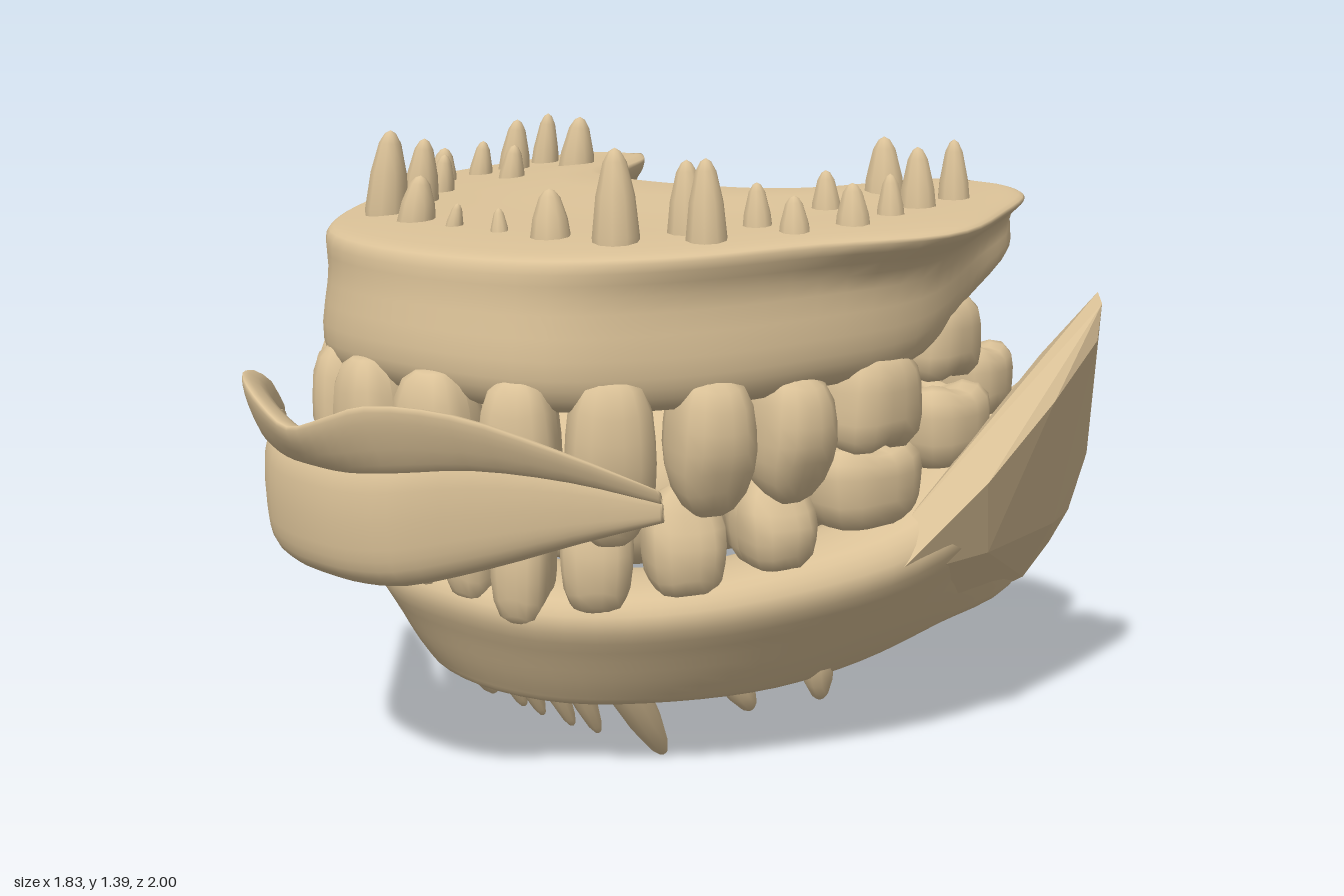
import * as THREE from 'three';
import { ConvexGeometry } from 'three/addons/geometries/ConvexGeometry.js';

const V = (x, y, z) => new THREE.Vector3(x, y, z);
const mix = THREE.MathUtils.lerp;

// Smooth closed skin through a row of cross-section rings.
function loft(rings, along, around) {
  const n = rings[0].length;
  const rails = [...Array(n).keys()].map(i => new THREE.CatmullRomCurve3(rings.map(r => r[i]), false, 'centripetal'));
  const pos = [], idx = [], pts = [];
  for (let a = 0; a <= along; a++) {
    const loop = new THREE.CatmullRomCurve3(rails.map(c => c.getPoint(a / along)), true, 'centripetal');
    for (let b = 0; b < around; b++) pts.push(loop.getPoint(b / around));
  }
  for (let a = 0; a < along; a++) for (let b = 0; b < around; b++) {
    const p = a * around + b, q = a * around + (b + 1) % around;
    idx.push(p, q, p + around, q, q + around, p + around);
  }
  for (const [start, flip] of [[0, false], [along * around, true]]) {
    const c = V(0, 0, 0);
    for (let b = 0; b < around; b++) c.addScaledVector(pts[start + b], 1 / around);
    const ci = pts.push(c) - 1;
    for (let b = 0; b < around; b++) {
      const p = start + b, q = start + (b + 1) % around;
      idx.push(ci, flip ? p : q, flip ? q : p);
    }
  }
  // turn the skin outward if its volume is negative
  let vol = 0;
  for (let i = 0; i < idx.length; i += 3)
    vol += pts[idx[i]].dot(V(0, 0, 0).crossVectors(pts[idx[i + 1]], pts[idx[i + 2]]));
  if (vol < 0) idx.reverse();
  pts.forEach(p => pos.push(p.x, p.y, p.z));
  const g = new THREE.BufferGeometry();
  g.setAttribute('position', new THREE.Float32BufferAttribute(pos, 3));
  g.setIndex(idx);
  g.computeVertexNormals();
  return g;
}

// Extend half a row of rings (starting at the middle) to both sides.
const mirrored = half => [
  ...half.slice(1).reverse().map(r => r.map(p => V(-p.x, p.y, p.z))), ...half];

// Crown with its biting edge at +y.
function crown(w, h, d, type) {
  const g = new THREE.SphereGeometry(1, 18, 12), p = g.attributes.position;
  for (let i = 0; i < p.count; i++) {
    let x = p.getX(i), y = p.getY(i), z = p.getZ(i);
    const s = (Math.abs(x) ** 3.6 + Math.abs(y) ** 3.6 + Math.abs(z) ** 3.6) ** (-1 / 3.6);
    x *= s; y *= s; z *= s;
    const up = Math.max(0, y);
    if (type === 'molar') {
      x *= 0.92 + 0.08 * y;
      if (y > 0.4) y -= 0.3 * (Math.exp(-x * x * 14) + Math.exp(-z * z * 14)) * (y - 0.4);
    } else {
      x *= (type === 'canine' ? 1 - 0.4 * up * up : 1) * (0.92 + 0.08 * y);
      z *= 1 - 0.5 * up;
    }
    p.setXYZ(i, x * w / 2, y * h / 2, z * d / 2);
  }
  g.computeVertexNormals();
  return g;
}

export function createModel() {
  const model = new THREE.Group();
  const tan = new THREE.MeshStandardMaterial({ color: 0xdac197 });
  tan.name = 'tan';
  const add = (name, geo, parent = model) => {
    const m = new THREE.Mesh(geo, tan);
    m.name = name;
    parent.add(m);
    return m;
  };
  const group = name => {
    const g = new THREE.Group();
    g.name = name;
    model.add(g);
    return g;
  };

  // Upper gum with palate: outer x z, inner x z, lower edge y, inset of lower edge, drop of the top rim
  const upper = [
    [0, 0.69, 0, -0.16, 0.89, -0.03, 0.025], [0.33, 0.62, 0.1, -0.165, 0.88, -0.02, 0.025],
    [0.54, 0.43, 0.2, -0.18, 0.88, 0.02, 0.025], [0.69, 0.19, 0.27, -0.21, 0.9, 0.04, 0.02],
    [0.845, -0.08, 0.33, -0.27, 0.93, 0.11, 0.02], [0.8, -0.33, 0.38, -0.38, 1.03, 0.08, 0.01],
    [0.72, -0.52, 0.44, -0.5, 1.12, 0.03, 0], [0.58, -0.575, 0.5, -0.56, 1.18, 0, 0]
  ].map(([xo, zo, xi, zi, yb, inset, drop]) => {
    const len = Math.hypot(xo - xi, zo - zi), ridge = Math.min(0.24, len * 0.6);
    const top = z => 1.25 - 0.05 * z;
    const at = (back, y) => {
      const k = back / len, z = mix(zo, zi, k);
      return V(mix(xo, xi, k), y(z), z);
    };
    return [
      at(len, z => top(z)), at(len * 0.5, z => top(z) - drop * 0.3), at(0.04, z => top(z) - drop),
      at(0, z => top(z) - drop - 0.015),
      at(inset * 0.7 + 0.01, z => mix(top(z), yb, 0.35)), at(inset, z => mix(top(z), yb, 0.8)),
      at(inset + 0.04, () => yb), at(inset + ridge, () => yb + 0.02),
      at(Math.min(len * 0.85, inset + ridge * 1.5), z => mix(top(z), yb, 0.45)),
      at(len * 0.98, z => mix(top(z), yb, 0.2))];
  });
  add('upperGum', loft(mirrored(upper), 64, 36));

  // Lower gum: outer x z, inner x z, bottom y, top y, inset of the bottom edge
  const lower = [
    [0, 0.61, 0, 0.28, 0.18, 0.47, 0.12], [0.25, 0.56, 0.17, 0.24, 0.18, 0.46, 0.13],
    [0.47, 0.4, 0.3, 0.13, 0.185, 0.47, 0.15], [0.65, 0.15, 0.4, 0, 0.19, 0.51, 0.17],
    [0.77, -0.1, 0.48, -0.15, 0.22, 0.57, 0.19], [0.83, -0.35, 0.54, -0.35, 0.27, 0.69, 0.19],
    [0.82, -0.55, 0.57, -0.6, 0.32, 0.78, 0.14], [0.77, -0.71, 0.6, -0.7, 0.42, 0.81, 0.1],
    [0.74, -0.79, 0.64, -0.78, 0.55, 0.78, 0.03]
  ].map(([xo, zo, xi, zi, yb, yt, inset]) => {
    const len = Math.hypot(xo - xi, zo - zi);
    const at = (back, k) => V(mix(xo, xi, back / len), mix(yb, yt, k), mix(zo, zi, back / len));
    const s = Math.min(1, len / 0.25);
    return [at(len - 0.03 * s, 0), at(inset, 0), at(inset * 0.8, 0.1), at(inset * 0.35, 0.45), at(0, 0.8),
      at(0.04 * s, 1), at(len - 0.07 * s, 1), at(len, 0.7), at(len, 0.3)];
  });
  add('lowerGum', loft(mirrored(lower), 64, 36));

  // Pointed flaps flaring outward at the back of the lower gum
  for (const s of [1, -1]) add(s > 0 ? 'leftJawFlap' : 'rightJawFlap', new ConvexGeometry([
    [0.88, 1.05, -0.59], [0.91, 1.03, -0.56], [0.915, 0.95, -0.54], [0.9, 0.83, -0.4], [0.855, 0.67, -0.22],
    [0.74, 0.47, -0.04], [0.81, 0.49, -0.3], [0.66, 0.3, -0.35], [0.7, 0.34, -0.62], [0.8, 0.5, -0.58],
    [0.76, 0.5, -0.71], [0.79, 0.64, -0.73], [0.79, 0.87, -0.73], [0.73, 0.42, -0.68], [0.77, 0.9, -0.54],
    [0.74, 0.7, -0.28], [0.73, 0.84, -0.7], [0.7, 0.55, -0.1]
  ].map(([x, y, z]) => V(s * x, y, z))));

  // Tongue: top z y, underside z y, half width
  add('tongue', loft([
    [-0.975, 0.11, -0.82, 0.125, 0.23], [-1, 0.29, -0.74, 0.18, 0.28], [-0.97, 0.5, -0.67, 0.25, 0.34],
    [-0.87, 0.7, -0.6, 0.32, 0.41], [-0.7, 0.83, -0.48, 0.38, 0.47], [-0.4, 0.93, -0.3, 0.42, 0.45],
    [-0.05, 0.88, -0.05, 0.44, 0.4], [0.22, 0.74, 0.2, 0.44, 0.3], [0.4, 0.58, 0.38, 0.48, 0.12]
  ].map(([zt, yt, zb, yb, w]) => {
    const at = (x, k) => V(x * w, mix(yb, yt, k), mix(zb, zt, k));
    return [at(0, 1), at(0.55, 0.97), at(0.93, 0.72), at(1, 0.45), at(0.82, 0.06),
      at(0, 0), at(-0.82, 0.06), at(-1, 0.45), at(-0.93, 0.72), at(-0.55, 0.97)];
  }), 36, 32));

  // Lips: x, front z, top y, mouth line y, bottom y, thickness factor
  const lips = [[0, 0.995, 0.86, 0.77, 0.53, 1], [0.1, 0.985, 0.89, 0.77, 0.53, 1], [0.2, 0.955, 0.925, 0.78, 0.54, 1],
    [0.33, 0.85, 0.91, 0.79, 0.58, 0.9], [0.48, 0.71, 0.84, 0.77, 0.64, 0.6], [0.615, 0.57, 0.76, 0.73, 0.69, 0.2]];
  add('upperLip', loft(mirrored(lips.map(([x, z, yt, ym, yb, f]) => [
    V(x, yt, z), V(x, mix(ym, yt, 0.6), z - 0.01 * f), V(x, ym, z - 0.06 * f),
    V(x, ym + 0.01 * f, z - 0.085 * f), V(x, mix(ym, yt, 0.75), z - 0.06 * f)])), 30, 15));
  add('lowerLip', loft(mirrored(lips.map(([x, z, yt, ym, yb, f]) => [
    V(x, ym, z - 0.06 * f), V(x, mix(yb, ym, 0.35), z - 0.05 * f), V(x, yb + 0.02 * f, z - 0.07 * f),
    V(x, yb, z - 0.11 * f), V(x, mix(yb, ym, 0.5), z - 0.11 * f), V(x, ym, z - 0.09 * f)])), 30, 18));

  // Crowns follow each arch: x, y, z, width, height, depth, type
  const arches = {
    upperTeeth: [
      [0.105, 0.78, 0.69, 0.2, 0.34, 0.15, 'incisor'], [0.28, 0.78, 0.62, 0.18, 0.33, 0.16, 'incisor'],
      [0.41, 0.77, 0.49, 0.2, 0.36, 0.18, 'canine'], [0.52, 0.79, 0.31, 0.19, 0.3, 0.2, 'canine'],
      [0.59, 0.79, 0.14, 0.18, 0.28, 0.21, 'canine'], [0.63, 0.85, -0.06, 0.25, 0.23, 0.22, 'molar'],
      [0.63, 0.96, -0.29, 0.23, 0.2, 0.22, 'molar']],
    lowerTeeth: [
      [0.07, 0.56, 0.56, 0.14, 0.28, 0.13, 'incisor'], [0.2, 0.54, 0.54, 0.14, 0.3, 0.13, 'canine'],
      [0.33, 0.56, 0.45, 0.17, 0.27, 0.16, 'canine'], [0.44, 0.57, 0.3, 0.19, 0.24, 0.18, 'canine'],
      [0.54, 0.6, 0.13, 0.18, 0.21, 0.2, 'canine'], [0.6, 0.66, -0.08, 0.29, 0.2, 0.23, 'molar'],
      [0.63, 0.76, -0.32, 0.25, 0.2, 0.23, 'molar'], [0.62, 0.84, -0.46, 0.2, 0.18, 0.2, 'molar']]
  };
  for (const [name, row] of Object.entries(arches)) {
    const parent = group(name);
    row.forEach(([x, y, z, w, h, d, type], i) => {
      const a = i ? row[i - 1] : [-x, y, z], b = row[i + 1] || row[i];
      const turn = Math.atan2(a[2] - b[2], b[0] - a[0]);
      for (const s of [1, -1]) {
        const m = add(type, crown(w, h, d, type), parent);
        m.position.set(s * x, y, z);
        m.rotation.set(0, s * turn, name === 'upperTeeth' ? Math.PI : 0);
      }
    });
  }

  // Root tips: base point to tip point, radius
  const roots = (name, list) => {
    const parent = group(name);
    for (const [x0, y0, z0, x1, y1, z1, r] of list) for (const s of [1, -1]) {
      const a = V(s * x0, y0, z0), b = V(s * x1, y1, z1), dir = b.clone().sub(a), len = dir.length();
      const profile = [[0.9, 0], [1, 0.25], [0.82, 0.6], [0.5, 0.88], [0.25, 0.97], [0, 1]]
        .map(([k, t]) => new THREE.Vector2(k * r, t * len));
      const m = add('root', new THREE.LatheGeometry(profile, 10), parent);
      m.position.copy(a);
      m.quaternion.setFromUnitVectors(V(0, 1, 0), dir.normalize());
    }
  };
  // x, z, tip y, radius
  roots('upperRoots', [
    [0.66, -0.34, 1.39, 0.04], [0.5, -0.3, 1.39, 0.052], [0.65, -0.22, 1.38, 0.045], [0.66, -0.11, 1.33, 0.035],
    [0.66, 0.02, 1.32, 0.042], [0.51, -0.08, 1.33, 0.038], [0.61, 0.15, 1.3, 0.037], [0.51, 0.15, 1.32, 0.035],
    [0.51, 0.31, 1.38, 0.044], [0.43, 0.28, 1.37, 0.044], [0.37, 0.43, 1.4, 0.05], [0.22, 0.47, 1.31, 0.045],
    [0.08, 0.485, 1.26, 0.022]
  ].map(([x, z, y, r]) => [x, 1.16, z, x - 0.015, y, z - 0.01, r]));
  roots('lowerRoots', [
    [0.05, 0.24, 0.36, 0.05, 0.03, 0.25, 0.03], [0.13, 0.24, 0.35, 0.125, 0.03, 0.24, 0.032],
    [0.29, 0.25, 0.35, 0.285, 0.01, 0.19, 0.045], [0.43, 0.24, 0.14, 0.45, 0.13, 0.08, 0.04],
    [0.54, 0.26, -0.03, 0.535, 0.14, -0.06, 0.04]]);

  return model;
}
